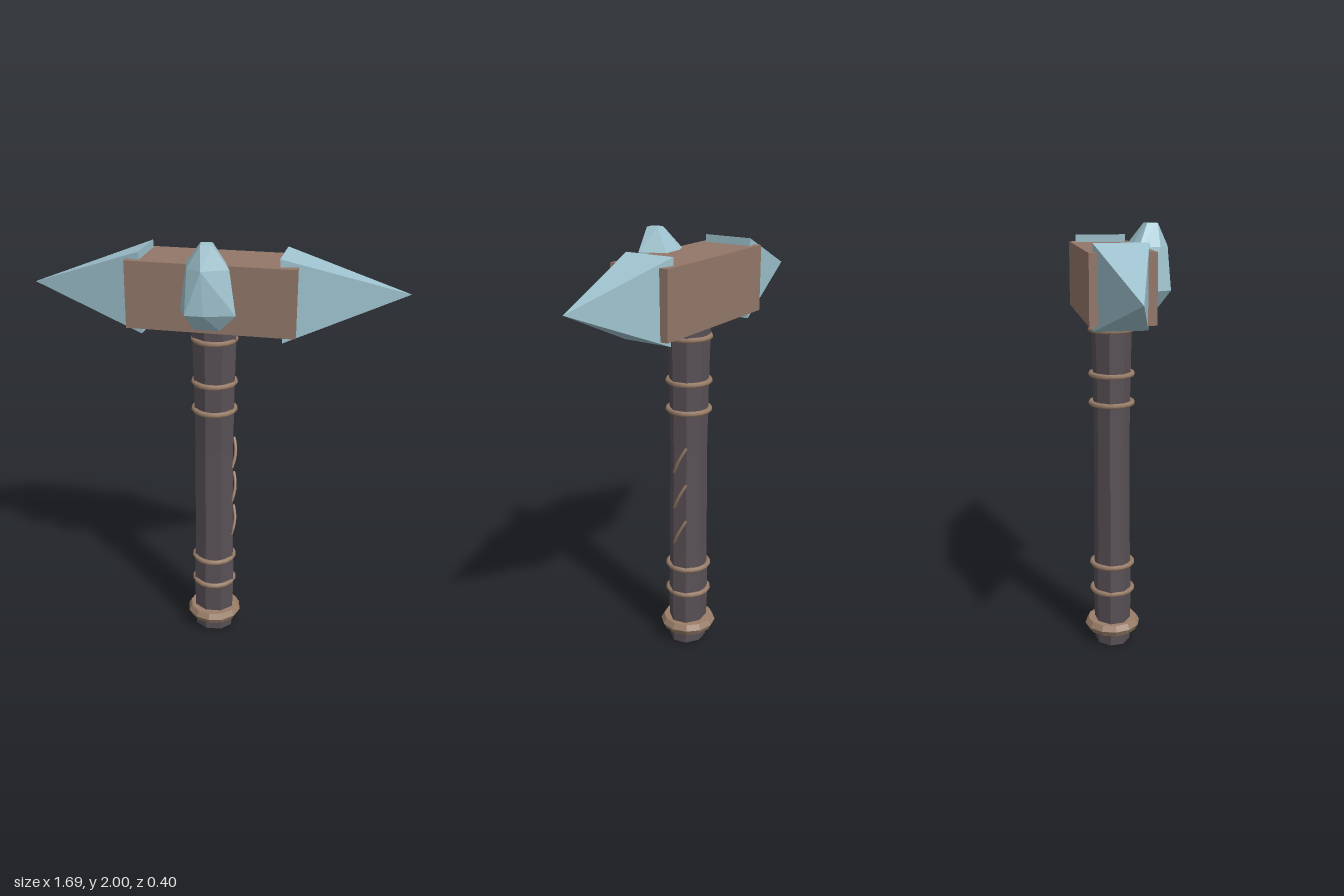
import * as THREE from 'three';
import { ConvexGeometry } from 'three/addons/geometries/ConvexGeometry.js';

const AXIS_X = -0.005, AXIS_Z = -0.057;

const mat = (name, color) => {
  const m = new THREE.MeshStandardMaterial({ color });
  m.name = name;
  return m;
};

// Faceted normals
const flat = (g) => {
  const f = g.index ? g.toNonIndexed() : g;
  f.computeVertexNormals();
  return f;
};

const hull = (pts) => new ConvexGeometry(pts.map((p) => new THREE.Vector3(...p)));

export function createModel() {
  const model = new THREE.Group();
  model.name = 'warHammer';
  const crystal = mat('pale blue crystal', 0x9fc3cf);
  const wood = mat('brown head', 0x927769);
  const dark = mat('dark handle', 0x585055);
  const cord = mat('tan cord', 0x9a7e69);

  const add = (name, geometry, material, x = 0, y = 0, z = 0, parent = model) => {
    const mesh = new THREE.Mesh(geometry, material);
    mesh.name = name;
    mesh.position.set(x, y, z);
    parent.add(mesh);
    return mesh;
  };

  // Head block
  add('headBlock', new THREE.BoxGeometry(0.75, 0.3, 0.285), wood, 0, 1.75, -0.061);

  // Side spikes: four-sided pyramids, slightly tilted
  const spike = (xTop, xBottom, tipX, tipY) => hull([
    [xTop, 1.935, -0.18], [xTop, 1.935, 0.056],
    [xBottom, 1.57, -0.18], [xBottom, 1.57, 0.056],
    [tipX, tipY, -0.062],
  ]);
  add('leftSpike', spike(0.298, 0.318, 0.845, 1.786), crystal);
  add('rightSpike', spike(-0.315, -0.31, -0.845, 1.744), crystal);

  // Front crystal: irregular rings from bottom to top
  const crystalRings = [
    [1.635, [[-0.06, 0.1], [-0.05, 0.15], [0.06, 0.14], [0.05, 0.08], [-0.04, 0.07]]],
    [1.71, [[-0.125, 0.09], [-0.08, 0.2], [0.0, 0.197], [0.133, 0.16], [0.085, 0.05], [-0.09, 0.04]]],
    [1.9, [[-0.108, 0.05], [-0.08, 0.15], [-0.01, 0.197], [0.1, 0.14], [0.06, 0.02], [-0.05, 0.027]]],
    [2.0, [[-0.03, 0.1], [-0.02, 0.15], [0.028, 0.145], [0.02, 0.092]]],
  ];
  add('frontCrystal', hull(crystalRings.flatMap(([y, ring]) => ring.map(([x, z]) => [x, y, z]))), crystal);

  // Eight-sided handle, flared at both ends
  const profile = [[0, 0], [0.098, 0], [0.106, 0.25], [0.1, 0.5], [0.097, 1.0], [0.102, 1.3], [0.11, 1.6], [0, 1.6]]
    .map(([r, y]) => new THREE.Vector2(r, y));
  const handle = new THREE.LatheGeometry(profile, 8, Math.PI / 6);
  handle.scale(0.98, 1, 0.85);
  add('handle', flat(handle), dark, AXIS_X, 0, AXIS_Z);

  // Cord rings around the handle
  for (const y of [0.27, 0.405, 1.195, 1.33, 1.535]) {
    const ring = new THREE.TorusGeometry(0.096, 0.0125, 6, 16);
    ring.rotateX(Math.PI / 2);
    add('cordRing', ring, cord, AXIS_X, y, AXIS_Z);
  }

  // Pommel collar with a bevelled section
  const collarProfile = [[0.08, 0.06], [0.118, 0.06], [0.133, 0.088], [0.118, 0.115], [0.08, 0.115]]
    .map(([r, y]) => new THREE.Vector2(r, y));
  add('pommelCollar', flat(new THREE.LatheGeometry(collarProfile, 12)), cord, AXIS_X, 0, AXIS_Z);

  // Slanted lashings on the left side of the handle
  for (const y of [0.602, 0.785, 0.967]) {
    const path = new THREE.QuadraticBezierCurve3(
      new THREE.Vector3(0.084, -0.065, 0.021),
      new THREE.Vector3(0.108, 0, -0.012),
      new THREE.Vector3(0.08, 0.065, -0.045));
    add('lashing', new THREE.TubeGeometry(path, 8, 0.007, 6), cord, 0, y, AXIS_Z);
  }

  return model;
}
